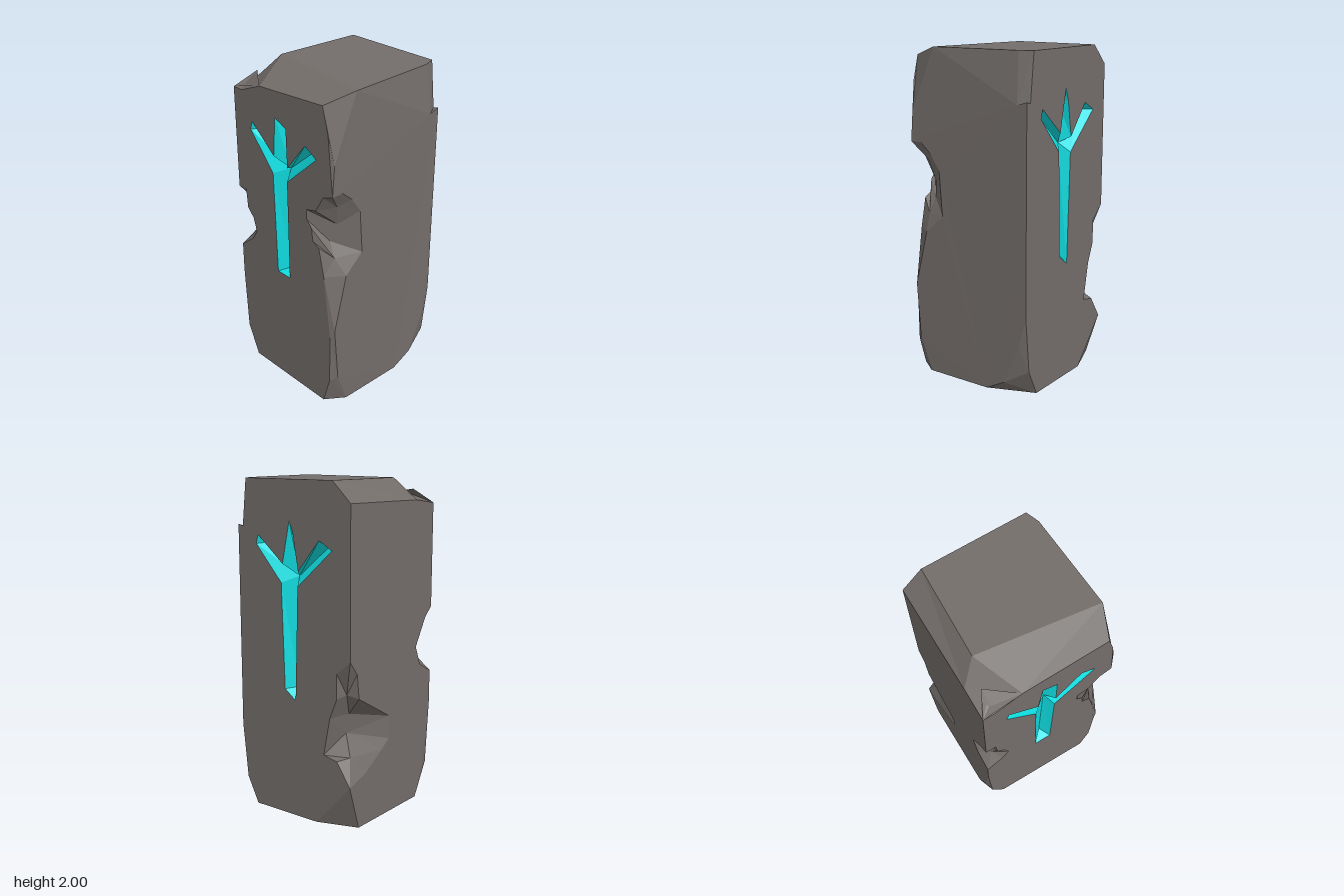
import * as THREE from 'three';

const H = 0.415; // half width of the block
const DEPTH = 0.065; // depth of the carved grooves

const F = (x, y) => [x, y, H]; // point on the front face
const B = (x, y) => [x, y, -H]; // back
const R = (z, y) => [H, y, z]; // right-hand face (+x)
const L = (z, y) => [-H, y, z]; // left-hand face (-x)
const C = (sx, sz, y) => [sx * H, y, sz * H]; // point on a corner edge

const same = (p, q) => p.every((v, i) => Math.abs(v - q[i]) < 1e-6);
const clean = (loop) => loop.filter((p, i) => !same(p, loop[(i + 1) % loop.length]));

// Flat-shaded geometry from a list of triangles
function geometry(tris) {
  const solid = tris.filter(([a, b, c]) => !same(a, b) && !same(b, c) && !same(a, c));
  const g = new THREE.BufferGeometry();
  g.setAttribute('position', new THREE.Float32BufferAttribute(solid.flat(2), 3));
  g.computeVertexNormals();
  return g;
}

// Fill a (nearly) planar loop, with an optional hole, facing along +/- an axis
function facet(loop, axis, sign, hole) {
  const [u, v] = [[1, 2], [2, 0], [0, 1]][axis];
  const to2 = (p) => new THREE.Vector2(p[u], p[v]);
  const outer = clean(loop);
  const holes = hole ? [hole] : [];
  const all = [...outer, ...holes.flat()];
  const faces = THREE.ShapeUtils.triangulateShape(outer.map(to2), holes.map((h) => h.map(to2)));
  return faces.map((f) => {
    const [a, b, c] = f.map((i) => all[i]);
    const area = (b[u] - a[u]) * (c[v] - a[v]) - (b[v] - a[v]) * (c[u] - a[u]);
    return area * sign > 0 ? [a, b, c] : [a, c, b];
  });
}

// Zip two rising chains together with triangles
function strip(a, b, flip) {
  const tris = [];
  let i = 0, j = 0;
  while (i < a.length - 1 || j < b.length - 1) {
    const stepA = j === b.length - 1 ||
      (i < a.length - 1 && (i + 1) / (a.length - 1) <= (j + 1) / (b.length - 1));
    const t = stepA ? [a[i], b[j], a[i + 1]] : [a[i], b[j], b[j + 1]];
    if (stepA) i++; else j++;
    tris.push(flip ? [t[0], t[2], t[1]] : t);
  }
  return tris;
}

// Wear on each corner edge, bottom to top: a lies on the front or back face,
// b on the side face, mid is the sunken line between them
const corners = {
  frontRight: { flip: false, wear: [
    { name: 'lowerBevel',
      a: [F(0.33, 0), F(0.385, 0.18), F(0.39, 0.5), F(0.34, 0.9)],
      b: [[0.41, 0, 0.3], R(0.375, 0.2), R(0.4, 0.55), R(0.31, 0.9)] },
    { name: 'largeChip',
      a: [F(0.34, 0.9), F(0.3, 1.077), F(0.25, 1.1), F(0.24, 1.18), F(0.2, 1.225), F(0.2, 1.285),
        F(0.275, 1.305), F(0.34, 1.41), C(1, 1, 1.44)],
      mid: [F(0.34, 0.9), [0.35, 1, 0.34], [0.3, 1.09, 0.33], [0.33, 1.2, 0.3], [0.36, 1.33, 0.33], C(1, 1, 1.44)],
      b: [R(0.31, 0.9), R(0.185, 1.01), R(0.205, 1.285), R(0.27, 1.38), R(0.34, 1.44), C(1, 1, 1.44)] },
    { name: 'upperBevel',
      a: [C(1, 1, 1.44), F(0.38, 1.8), F(0.34, 1.945)],
      b: [C(1, 1, 1.44), R(0.4, 1.62), [0.41, 2, 0.235]] },
  ] },
  frontLeft: { flip: true, wear: [
    { name: 'lowerBevel',
      a: [F(-0.31, 0), F(-0.395, 0.19), C(-1, 1, 0.6)],
      b: [L(0.27, 0), L(0.35, 0.2), C(-1, 1, 0.6)] },
    { name: 'sideChip',
      a: [C(-1, 1, 0.8), F(-0.31, 0.88), F(-0.265, 0.95), F(-0.29, 1.035), F(-0.34, 1.09), F(-0.35, 1.21), C(-1, 1, 1.21)],
      mid: [C(-1, 1, 0.8), [-0.35, 0.9, 0.35], [-0.33, 0.99, 0.33], [-0.37, 1.1, 0.34], C(-1, 1, 1.21)],
      b: [C(-1, 1, 0.8), L(0.3, 0.86), L(0.25, 0.98), L(0.35, 1.15), C(-1, 1, 1.21)] },
    { name: 'topChip',
      a: [C(-1, 1, 1.845), F(-0.34, 1.845), F(-0.18, 1.91)],
      mid: [C(-1, 1, 1.845), [-0.36, 1.875, 0.36], [-0.35, 1.93, 0.29], F(-0.18, 1.91)],
      b: [C(-1, 1, 1.845), L(0.23, 1.87)] },
  ] },
  backRight: { flip: true, wear: [
    { name: 'lowerBevel',
      a: [B(0.3, 0), B(0.38, 0.16), C(1, -1, 0.5)],
      b: [[0.41, 0, -0.13], R(-0.26, 0.07), R(-0.365, 0.31), C(1, -1, 0.5)] },
    { name: 'topNotch',
      a: [C(1, -1, 1.73), B(0.38, 1.72), B(0.35, 2)],
      b: [C(1, -1, 1.73), R(-0.35, 1.71), [0.38, 2, -0.335]] },
  ] },
  backLeft: { flip: false, wear: [
    { name: 'lowerBevel', a: [B(-0.17, 0), C(-1, -1, 0.27)], b: [L(-0.33, 0), C(-1, -1, 0.27)] },
    { name: 'deepChip',
      a: [C(-1, -1, 0.27), B(-0.32, 0.41), B(-0.225, 0.43), B(-0.27, 0.66), B(-0.32, 0.78), B(-0.32, 0.93), C(-1, -1, 1.01)],
      mid: [C(-1, -1, 0.27), [-0.36, 0.42, -0.34], [-0.3, 0.55, -0.3], [-0.32, 0.67, -0.3], [-0.35, 0.8, -0.36], C(-1, -1, 1.01)],
      b: [C(-1, -1, 0.27), L(-0.26, 0.32), L(-0.1, 0.42), L(-0.03, 0.47), L(-0.03, 0.61), L(-0.33, 0.78), L(-0.35, 0.93), C(-1, -1, 1.01)] },
    { name: 'upperEdge', a: [C(-1, -1, 1.01), C(-1, -1, 1.88)], b: [C(-1, -1, 1.01), C(-1, -1, 1.88)] },
  ] },
};

// Groove outline points, each tied to a point of the valley line
const valley = { S: [-0.005, 0.79], J: [0, 1.45], E: [0.21, 1.625], T: [-0.008, 1.69], W: [-0.22, 1.63] };
const frontMark = [
  [-0.07, 0.755, 'S'], [0.037, 0.755, 'S'], [0.037, 1.395, 'J'], [0.286, 1.618, 'E'],
  [0.196, 1.67, 'E'], [0.042, 1.485, 'J'], [0.037, 1.72, 'T'], [-0.053, 1.76, 'T'],
  [-0.074, 1.52, 'J'], [-0.26, 1.676, 'W'], [-0.275, 1.623, 'W'], [-0.085, 1.41, 'J'],
];
const backMark = frontMark.map((p) => [...p]);
backMark[0] = [-0.065, 0.78, 'S'];
backMark[1] = [0.015, 0.72, 'S'];
backMark[6] = [0.005, 1.7, 'T'];
backMark[7] = [-0.02, 1.77, 'T'];

export function createModel() {
  const stone = new THREE.MeshStandardMaterial({ color: 0x736d6a });
  stone.name = 'stone';
  const glow = new THREE.MeshStandardMaterial({ color: 0x10e0e4 });
  glow.name = 'cyan';

  const model = new THREE.Group();
  model.name = 'carvedStone';
  const add = (name, tris, material) => {
    const mesh = new THREE.Mesh(geometry(tris), material);
    mesh.name = name;
    model.add(mesh);
  };

  // Chips and bevels along the corner edges
  for (const [corner, { flip, wear }] of Object.entries(corners)) {
    for (const { name, a, mid, b } of wear) {
      if (name === 'upperEdge') continue;
      const tris = mid ? [...strip(a, mid, flip), ...strip(mid, b, flip)] : strip(a, b, flip);
      add(`${corner}_${name}`, tris, stone);
    }
  }

  // Main faces, bounded by the worn edges
  const chain = (corner, side) => corners[corner].wear.flatMap((w) => w[side]);
  const wall = (up, down, side, extra = []) => [...chain(up, side), ...extra, ...chain(down, side).reverse()];
  const place = (s) => ([x, y]) => [s * x, y, s * H];
  const topFL = [-0.31, 2, 0.14], topFR = [0.41, 2, 0.235], topBL = B(-0.29, 2);
  add('frontFace', facet(wall('frontRight', 'frontLeft', 'a'), 2, 1, frontMark.map(place(1))), stone);
  add('backFace', facet(wall('backRight', 'backLeft', 'a', [topBL]), 2, -1, backMark.map(place(-1))), stone);
  add('rightFace', facet(wall('frontRight', 'backRight', 'b'), 0, 1), stone);
  add('leftFace', facet(wall('frontLeft', 'backLeft', 'b'), 0, -1), stone);
  add('topFace', facet([topFL, topFR, [0.38, 2, -0.335], B(0.35, 2), topBL], 1, 1), stone);
  add('topFrontSlope', facet([F(-0.18, 1.91), F(0.34, 1.945), topFR, topFL], 1, 1), stone);
  add('topLeftSlope', facet([L(0.23, 1.87), topFL, topBL, C(-1, -1, 1.88)], 1, 1), stone);
  add('topCornerSlope', facet([F(-0.18, 1.91), topFL, L(0.23, 1.87)], 1, 1), stone);
  add('bottomFace', facet(['frontLeft', 'frontRight', 'backRight', 'backLeft'].flatMap((k, i) => {
    const ends = [corners[k].wear[0].a[0], corners[k].wear[0].b[0]];
    return i % 2 ? ends : ends.reverse();
  }), 1, -1), stone);

  // Carved grooves: each outline edge slopes down to the valley line
  for (const [name, mark, s] of [['frontCarving', frontMark, 1], ['backCarving', backMark, -1]]) {
    const deep = (k) => [s * valley[k][0], valley[k][1], s * (H - DEPTH)];
    const tris = mark.flatMap((p, i) => {
      const q = mark[(i + 1) % mark.length];
      const [P, Q] = [p, q].map(place(s));
      return [[P, Q, deep(q[2])], [P, deep(q[2]), deep(p[2])]];
    });
    add(name, tris, glow);
  }
  return model;
}
